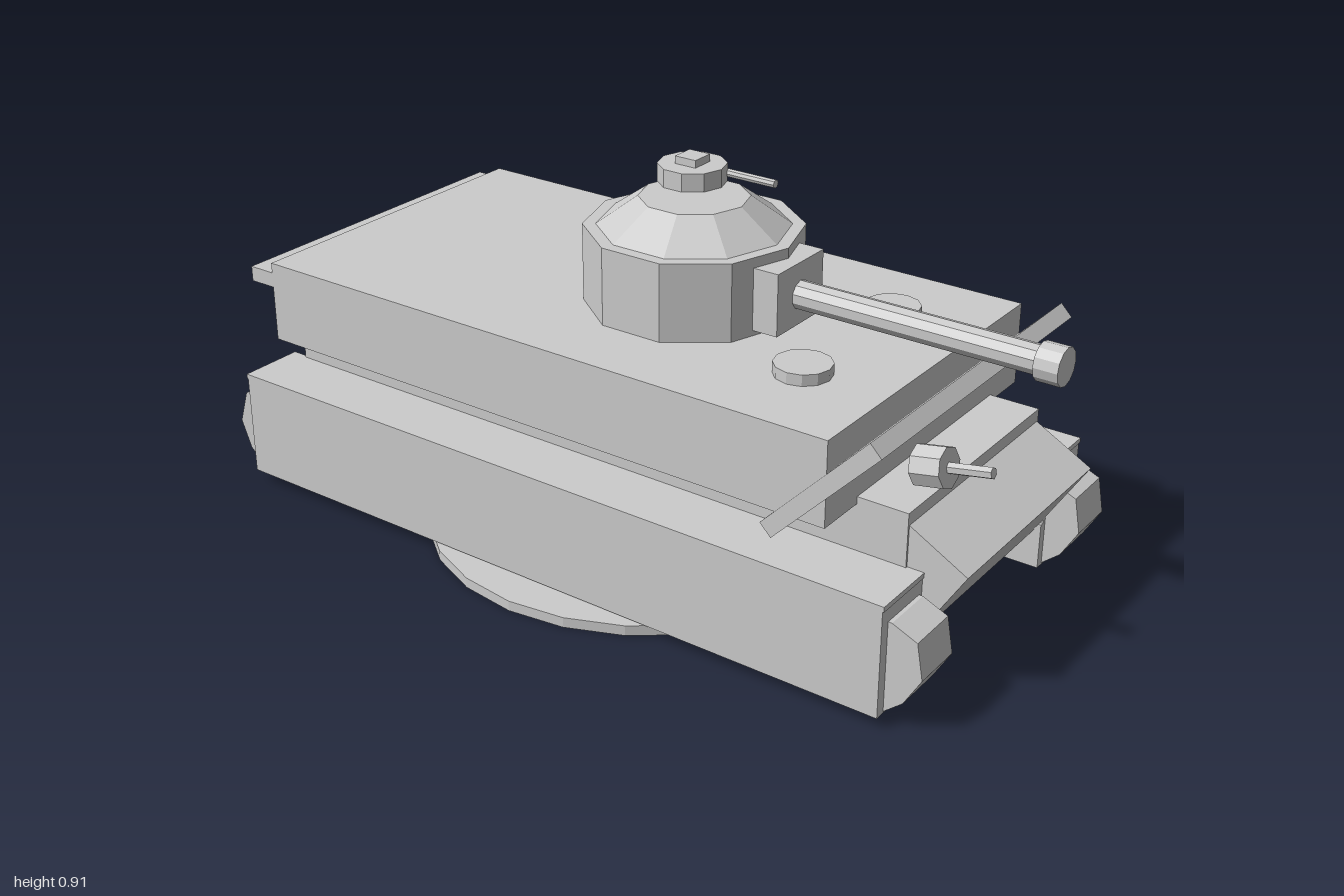
import * as THREE from 'three';

const material = new THREE.MeshStandardMaterial({ color: 0xcccccc, flatShading: true });

export function createModel() {
  const model = new THREE.Group();

  const add = (name, geometry, x = 0, y = 0, z = 0, parent = model) => {
    const mesh = new THREE.Mesh(geometry, material);
    mesh.name = name;
    mesh.position.set(x, y, z);
    parent.add(mesh);
    return mesh;
  };

  // Box given by its lower and upper limits on each axis
  const box = (name, [x0, x1], [y0, y1], [z0, z1], parent) =>
    add(name, new THREE.BoxGeometry(x1 - x0, y1 - y0, z1 - z0),
      (x0 + x1) / 2, (y0 + y1) / 2, (z0 + z1) / 2, parent);

  // Upright cylinder or cone frustum between two heights
  const drum = (name, rTop, rBottom, y0, y1, sides, x, z, parent) =>
    add(name, new THREE.CylinderGeometry(rTop, rBottom, y1 - y0, sides), x, (y0 + y1) / 2, z, parent);

  // Cylinder lying along z
  const rod = (name, r, z0, z1, sides, x, y, parent) =>
    add(name, new THREE.CylinderGeometry(r, r, z1 - z0, sides).rotateX(Math.PI / 2), x, y, (z0 + z1) / 2, parent);

  // Side profile of [z, y] points, extruded across x
  const profile = (name, points, x0, x1, parent) => {
    const shape = new THREE.Shape(points.map(([z, y]) => new THREE.Vector2(-z, y)));
    const geometry = new THREE.ExtrudeGeometry(shape, { depth: x1 - x0, bevelEnabled: false });
    return add(name, geometry.rotateY(Math.PI / 2), x0, 0, 0, parent);
  };

  // Round display base
  drum('base', 0.54, 0.54, 0, 0.025, 24, 0, -0.03);

  // Lower hull with its wedge-shaped nose
  box('lowerHull', [-0.29, 0.29], [0.115, 0.417], [-0.89, 0.82]);
  profile('nose', [[0.82, 0.388], [0.957, 0.313], [0.832, 0.11], [0.7, 0.18]], -0.285, 0.285);

  // Track units on both sides
  const trackOutline = [
    [0.855, 0.03], [0.9, 0.068], [0.94, 0.137], [0.925, 0.22], [0.866, 0.245],
    [-0.935, 0.245], [-0.973, 0.22], [-1, 0.137], [-0.973, 0.068], [-0.93, 0.03],
  ];
  for (const side of [1, -1]) {
    const unit = new THREE.Group();
    unit.name = side > 0 ? 'leftTrackUnit' : 'rightTrackUnit';
    model.add(unit);
    const span = (a, b) => (side > 0 ? [a, b] : [-b, -a]);
    box('trackGuard', span(0.285, 0.445), [0.028, 0.28], [-0.932, 0.857], unit);
    box('fender', span(0.283, 0.445), [0.28, 0.292], [-0.935, 0.86], unit);
    box('innerSkirt', span(0.275, 0.29), [0.028, 0.14], [-0.932, 0.857], unit);
    profile('track', trackOutline, ...span(0.296, 0.42), unit);
  }

  // Upper hull, sloping front plate and rear ledge
  box('upperHull', [-0.415, 0.415], [0.4, 0.597], [-0.845, 0.7]);
  profile('frontPlate', [[0.795, 0.622], [0.822, 0.594], [0.575, 0.337], [0.548, 0.365]], -0.417, 0.417);
  box('rearLedge', [-0.415, 0.415], [0.535, 0.572], [-0.915, -0.845]);
  for (const x of [-0.185, 0.185]) drum('deckHatch', 0.065, 0.065, 0.595, 0.623, 12, x, 0.497);

  // Turret
  const turret = new THREE.Group();
  turret.name = 'turret';
  model.add(turret);
  drum('turretBody', 0.25, 0.25, 0.595, 0.78, 10, 0, 0.087, turret);
  drum('turretRoof', 0.126, 0.22, 0.78, 0.847, 10, 0, 0.087, turret);
  box('mantlet', [-0.091, 0.091], [0.61, 0.756], [0.2, 0.37], turret);
  rod('barrel', 0.033, 0.36, 0.95, 10, 0, 0.68, turret);
  rod('muzzle', 0.043, 0.945, 1, 12, 0, 0.68, turret);

  // Commander's cupola with its small gun
  drum('cupola', 0.08, 0.08, 0.825, 0.89, 10, 0.075, 0.028, turret);
  box('cupolaLid', [0.047, 0.104], [0.88, 0.908], [0, 0.056], turret);
  rod('cupolaGun', 0.01, 0.04, 0.22, 8, 0.125, 0.865, turret);

  // Bow gun, tipped slightly upwards
  const bowGun = new THREE.Group();
  bowGun.name = 'bowGun';
  bowGun.position.set(-0.175, 0.472, 0.81);
  bowGun.rotation.x = -0.19;
  model.add(bowGun);
  rod('bowGunMount', 0.046, -0.035, 0.035, 8, 0, 0, bowGun);
  rod('bowGunBarrel', 0.013, 0.02, 0.135, 6, 0, 0, bowGun);

  return model;
}
